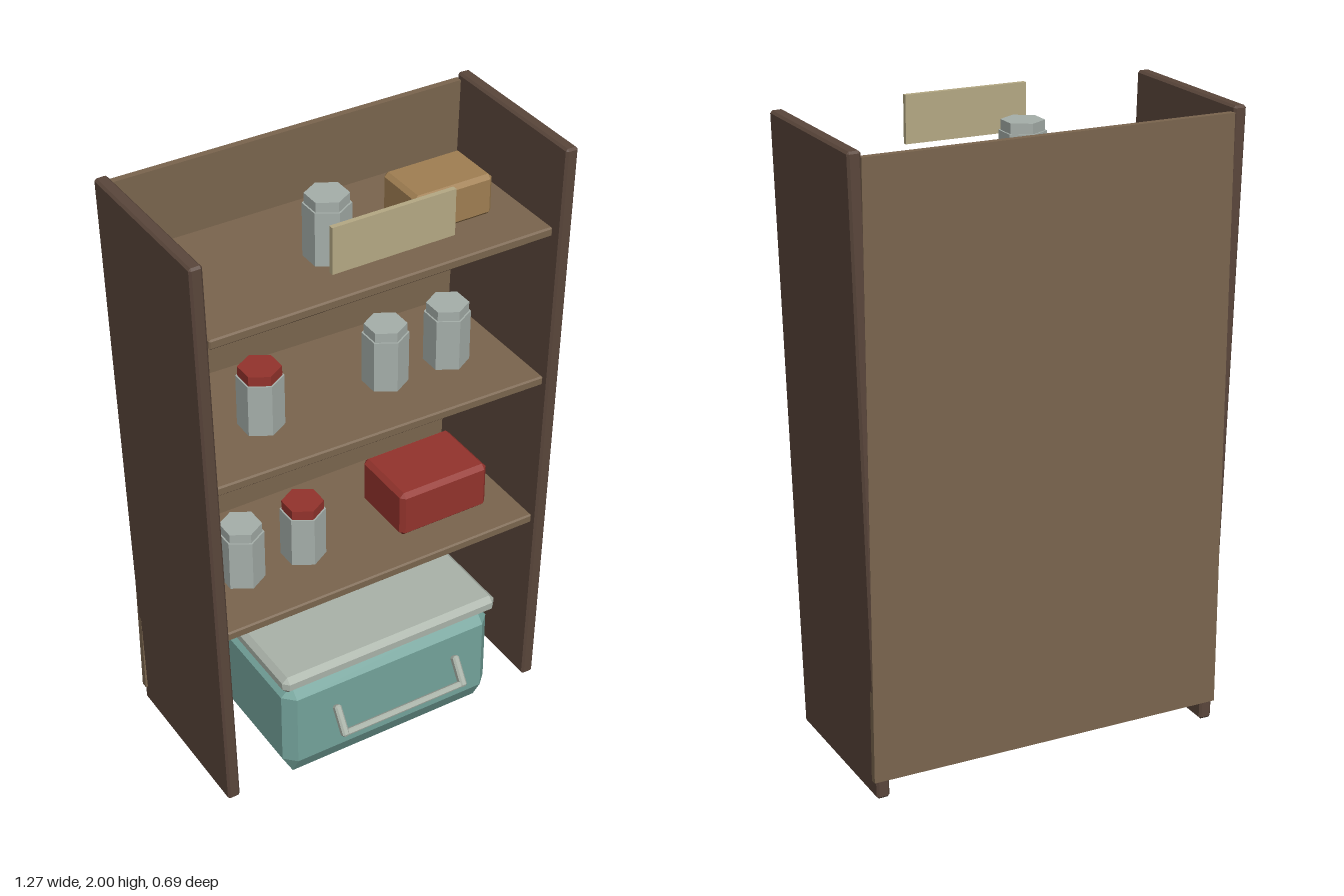
import * as THREE from 'three';
import { ConvexGeometry } from 'three/addons/geometries/ConvexGeometry.js';

const material = (name, color) => {
  const m = new THREE.MeshStandardMaterial({ color });
  m.name = name;
  return m;
};

// Box with chamfered edges; the bottom chamfer may be taller than the rest
function chamferBox(w, h, d, b, bottom = b) {
  const points = [];
  const x = w / 2, y = h / 2, z = d / 2;
  for (const sx of [-1, 1]) for (const sy of [-1, 1]) for (const sz of [-1, 1]) {
    const by = sy < 0 ? bottom : b;
    points.push(
      new THREE.Vector3(sx * x, sy * (y - by), sz * (z - b)),
      new THREE.Vector3(sx * (x - b), sy * y, sz * (z - b)),
      new THREE.Vector3(sx * (x - b), sy * (y - by), sz * z)
    );
  }
  return new ConvexGeometry(points);
}

export function createModel() {
  const model = new THREE.Group();
  model.name = 'pantryShelf';

  const darkWood = material('dark wood', 0x5a463b);
  const wood = material('wood', 0x7a654e);
  const teal = material('teal', 0x74a39b);
  const paleGrey = material('pale grey', 0xaab3a9);
  const glass = material('jar grey', 0xa6afaa);
  const red = material('red', 0x93332c);
  const tan = material('tan', 0xa07f52);
  const cream = material('cream', 0xb5a984);

  const add = (name, geometry, mat, x, y, z, parent = model) => {
    const mesh = new THREE.Mesh(geometry, mat);
    mesh.name = name;
    mesh.position.set(x, y, z);
    parent.add(mesh);
    return mesh;
  };

  // Side panels lean outwards towards the top
  for (const s of [-1, 1]) {
    const panel = add(s > 0 ? 'leftPanel' : 'rightPanel',
      chamferBox(0.042, 1.998, 0.57, 0.007), darkWood, s * 0.59, 1, -0.06);
    panel.rotation.z = -s * 0.025;
  }

  // Back board
  add('backBoard', new THREE.BoxGeometry(1.19, 1.92, 0.022), wood, 0, 1.02, -0.335);

  // Shelves: width, height, tilt
  for (const [w, y, tilt] of [[1.12, 0.655, 0], [1.145, 1.202, -0.021], [1.15, 1.723, 0]]) {
    const shelf = add('shelf', chamferBox(w, 0.032, 0.532, 0.005), wood, 0, y, -0.061);
    shelf.rotation.z = tilt;
  }

  // Six-sided jars with lids
  const jarBody = new THREE.CylinderGeometry(0.072, 0.072, 0.175, 6).toNonIndexed();
  const jarLid = new THREE.CylinderGeometry(0.066, 0.066, 0.032, 6).toNonIndexed();
  jarBody.computeVertexNormals();
  jarLid.computeVertexNormals();
  const jars = [
    [-0.385, 0.673, glass], [-0.165, 0.673, red],
    [-0.303, 1.226, red], [0.132, 1.226, glass], [0.355, 1.226, glass],
    [-0.07, 1.739, glass]
  ];
  for (const [x, y, lidMat] of jars) {
    const jar = new THREE.Group();
    jar.name = 'jar';
    jar.position.set(x, y, -0.01);
    add('jarBody', jarBody, glass, 0, 0.0875, 0, jar);
    add('jarLid', jarLid, lidMat, 0, 0.191, 0, jar);
    model.add(jar);
  }

  // Storage boxes
  add('redBox', chamferBox(0.325, 0.165, 0.24, 0.015), red, 0.298, 0.756, -0.027);
  add('tanBox', chamferBox(0.27, 0.135, 0.187, 0.013), tan, 0.326, 1.811, -0.037);

  // Large bin with lid
  add('bin', chamferBox(0.77, 0.368, 0.43, 0.037, 0.07), teal, 0, 0.19, 0.04);
  add('binLid', chamferBox(0.79, 0.06, 0.45, 0.018), paleGrey, 0, 0.41, 0.038);

  // Bin handle hangs forward
  const handle = new THREE.Group();
  handle.name = 'binHandle';
  handle.position.set(0, 0.237, 0.311);
  handle.rotation.x = -0.565;
  for (const s of [-1, 1]) {
    add('handlePost', chamferBox(0.024, 0.105, 0.028, 0.006), paleGrey, s * 0.222, 0, 0, handle);
  }
  add('handleBar', chamferBox(0.45, 0.02, 0.02, 0.004), paleGrey, 0, -0.042, 0, handle);
  model.add(handle);

  // Blank sign plate
  add('signPlate', new THREE.BoxGeometry(0.405, 0.15, 0.016), cream, 0, 1.924, 0.232);

  return model;
}
